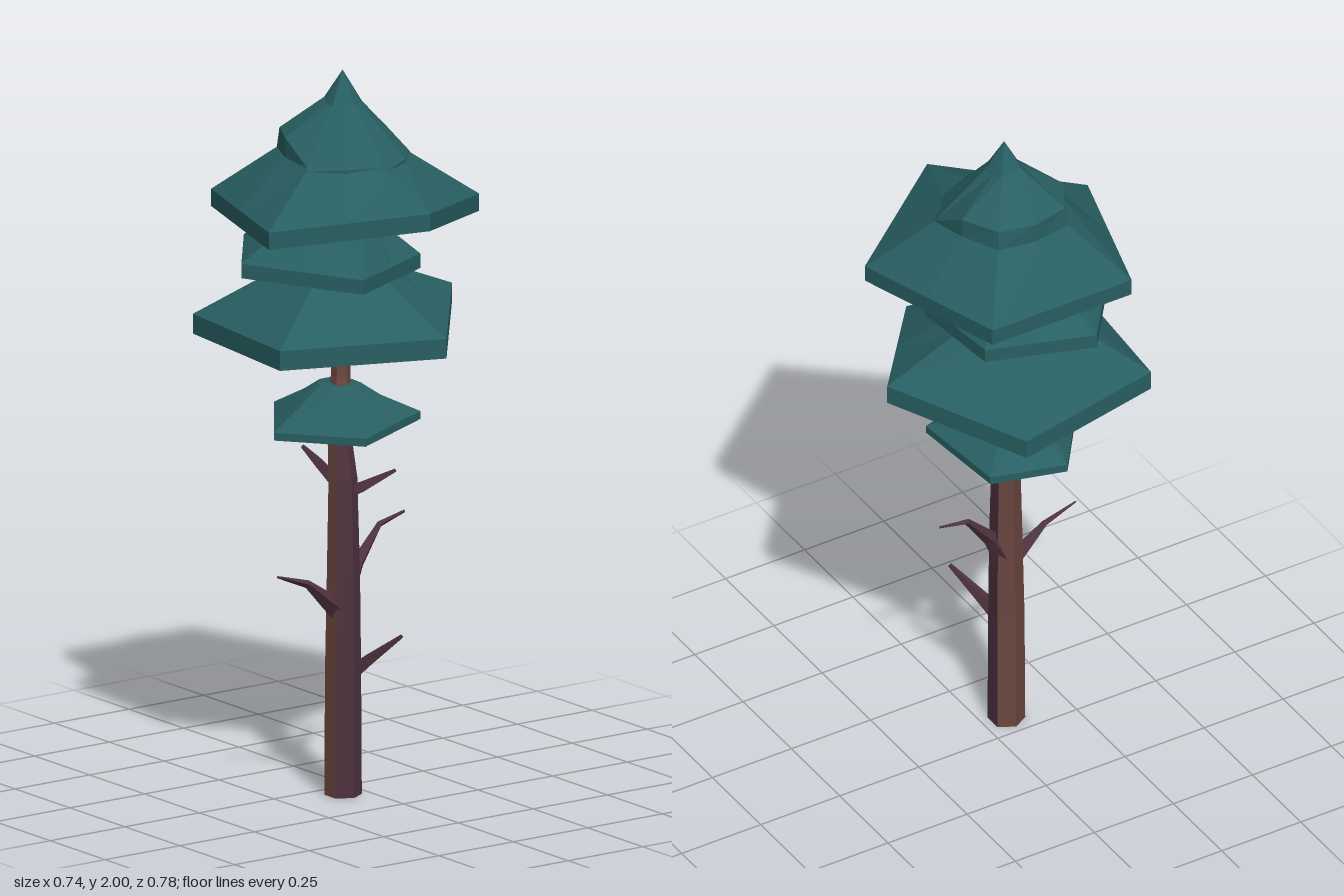
import * as THREE from 'three';

const makeMat = (name, color) => {
  const m = new THREE.MeshStandardMaterial({ color, flatShading: true });
  m.name = name;
  return m;
};

// Joins closed rings of points, ordered from +x to +z and from bottom to top, with a fan at each end.
// Returns separate triangle lists chosen by kind(part, side, level).
function loft(rings, bottom, top, kind) {
  const lists = {};
  const add = (key, ...pts) => (lists[key] ??= []).push(...pts.flatMap(p => p.toArray()));
  const n = rings[0].length, last = rings.length - 1;
  for (let i = 0; i < n; i++) {
    const j = (i + 1) % n;
    add(kind('bottom', i, 0), rings[0][i], rings[0][j], bottom);
    for (let k = 0; k < last; k++) {
      const [a, b, c, d] = [rings[k][i], rings[k + 1][i], rings[k + 1][j], rings[k][j]];
      add(kind('side', i, k), a, b, d, b, c, d);
    }
    add(kind('side', i, last), rings[last][i], top, rings[last][j]);
  }
  return lists;
}

function addMeshes(parent, name, lists, mats) {
  for (const key of Object.keys(lists)) {
    const g = new THREE.BufferGeometry();
    g.setAttribute('position', new THREE.Float32BufferAttribute(lists[key], 3));
    g.computeVertexNormals();
    const mesh = new THREE.Mesh(g, mats[key]);
    mesh.name = name + key;
    parent.add(mesh);
  }
}

// Tapered limb along a path of [x, y, z, radius]
function limbRings(path, sides, level = false) {
  const pts = path.map(p => new THREE.Vector3(p[0], p[1], p[2]));
  const up = new THREE.Vector3(0, 1, 0);
  const rings = pts.map((p, k) => {
    const dir = pts[Math.min(k + 1, pts.length - 1)].clone().sub(pts[Math.max(k - 1, 0)]).normalize();
    const q = new THREE.Quaternion().setFromUnitVectors(up, level ? up : dir);
    return Array.from({ length: sides }, (_, i) => {
      const a = Math.PI / 2 + i / sides * Math.PI * 2;
      return new THREE.Vector3(Math.cos(a), 0, Math.sin(a)).multiplyScalar(path[k][3]).applyQuaternion(q).add(p);
    });
  });
  return { rings, bottom: pts[0], top: pts[pts.length - 1] };
}

// Five-cornered foliage tier: corners are [x, z, y of lower edge],
// inner rings are [corner scale, mid scale, y, extra height at the back]
function foliage({ corners, thick, centre, inner, apex }) {
  const rim = [];
  corners.forEach((c, i) => {
    const d = corners[(i + 1) % 5];
    rim.push(new THREE.Vector3(c[0], c[2], c[1]));
    rim.push(new THREE.Vector3((c[0] + d[0]) / 2, (c[2] + d[2]) / 2, (c[1] + d[1]) / 2));
  });
  const rings = [rim, rim.map(p => p.clone().setY(p.y + thick))];
  for (const [cs, ms, y, back] of inner) {
    rings.push(rim.map((p, i) => {
      const s = i % 2 ? ms : cs;
      const z = centre[1] + (p.z - centre[1]) * s;
      return new THREE.Vector3(centre[0] + (p.x - centre[0]) * s, y + (z < centre[1] - 0.03 ? back : 0), z);
    }));
  }
  const low = rim.reduce((s, p) => s + p.y, 0) / rim.length;
  return loft(rings, new THREE.Vector3(centre[0], low + 0.01, centre[1]),
    new THREE.Vector3(centre[0], apex, centre[1]), part => part === 'bottom' ? 'Underside' : 'Needles');
}

export function createModel() {
  const tree = new THREE.Group();
  tree.name = 'pineTree';
  const mats = {
    Needles: makeMat('tealNeedles', 0x285f62),
    Underside: makeMat('darkUnderside', 0x221e31),
    Bark: makeMat('purpleBark', 0x4d323d),
    WarmBark: makeMat('redBrownBark', 0x6b463f),
  };

  // Trunk: six sides, warm bark on the back and on the upper bend
  const trunk = limbRings([
    [-0.07, 0, 0.07, 0.051], [-0.07, 0.35, 0.07, 0.049], [-0.065, 0.62, 0.065, 0.045],
    [-0.058, 0.88, 0.053, 0.039], [-0.052, 1.0, 0.028, 0.032],
    [-0.03, 1.15, 0.005, 0.027], [-0.02, 1.5, 0, 0.02],
  ], 6, true);
  addMeshes(tree, 'trunk', loft(trunk.rings, trunk.bottom, trunk.top,
    (part, i, k) => k > 3 || (i > 0 && i < 4) ? 'WarmBark' : 'Bark'), mats);

  // Bare branches
  const branches = [
    [[-0.07, 0.5, 0.07, 0.03], [-0.125, 0.55, 0.07, 0.023], [-0.19, 0.605, 0.07, 0.011], [-0.29, 0.64, 0.07, 0.003]],
    [[-0.05, 0.56, 0.06, 0.03], [-0.01, 0.635, 0.055, 0.021], [0.07, 0.727, 0.045, 0.009], [0.16, 0.748, 0.037, 0.004]],
    [[-0.06, 0.33, 0.08, 0.024], [-0.03, 0.38, 0.13, 0.018], [0.022, 0.457, 0.213, 0.006]],
    [[-0.06, 0.83, 0.05, 0.022], [-0.02, 0.855, 0.09, 0.018], [0.055, 0.9, 0.14, 0.006]],
    [[-0.06, 0.85, 0.045, 0.02], [-0.1, 0.915, 0.0, 0.015], [-0.13, 0.96, -0.035, 0.006]],
    [[-0.03, 1.11, 0.0, 0.016], [0.008, 1.21, -0.025, 0.006]],
  ];
  branches.forEach((path, b) => {
    const limb = limbRings(path, 4);
    addMeshes(tree, 'branch' + (b + 1), loft(limb.rings, limb.bottom, limb.top, () => b === 5 ? 'WarmBark' : 'Bark'), mats);
  });

  // Foliage tiers from the crown down
  const tiers = {
    crown: {
      corners: [[0.335, 0.14, 1.58], [-0.015, 0.39, 1.63], [-0.37, 0.14, 1.58], [-0.24, -0.3, 1.59], [0.2, -0.3, 1.59]],
      thick: 0.048, centre: [-0.02, 0], apex: 2,
      inner: [[0.5, 0.56, 1.755, 0.015], [0.48, 0.56, 1.765, 0.06], [0.14, 0.16, 1.91, 0.01]],
    },
    secondTier: {
      corners: [[0.175, 0.09, 1.435], [-0.12, 0.23, 1.435], [-0.33, -0.04, 1.457], [-0.13, -0.3, 1.455], [0.15, -0.18, 1.437]],
      thick: 0.04, centre: [-0.05, -0.02], apex: 1.64,
      inner: [[0.53, 0.6, 1.575, 0]],
    },
    thirdTier: {
      corners: [[0.365, -0.025, 1.285], [0.1, 0.31, 1.24], [-0.34, 0.15, 1.24], [-0.305, -0.295, 1.245], [0.15, -0.395, 1.25]],
      thick: 0.055, centre: [-0.02, -0.02], apex: 1.5,
      inner: [[0.46, 0.5, 1.425, 0]],
    },
    lowestTier: {
      corners: [[0.16, 0.11, 1.02], [-0.09, 0.2, 1.0], [-0.25, 0.0, 1.0], [-0.08, -0.23, 1.012], [0.13, -0.175, 1.015]],
      thick: 0.022, centre: [-0.03, -0.01], apex: 1.135,
      inner: [[0.52, 0.58, 1.09, 0], [0.28, 0.32, 1.125, 0]],
    },
  };
  for (const [name, tier] of Object.entries(tiers)) {
    const group = new THREE.Group();
    group.name = name;
    addMeshes(group, name, foliage(tier), mats);
    tree.add(group);
  }
  return tree;
}
